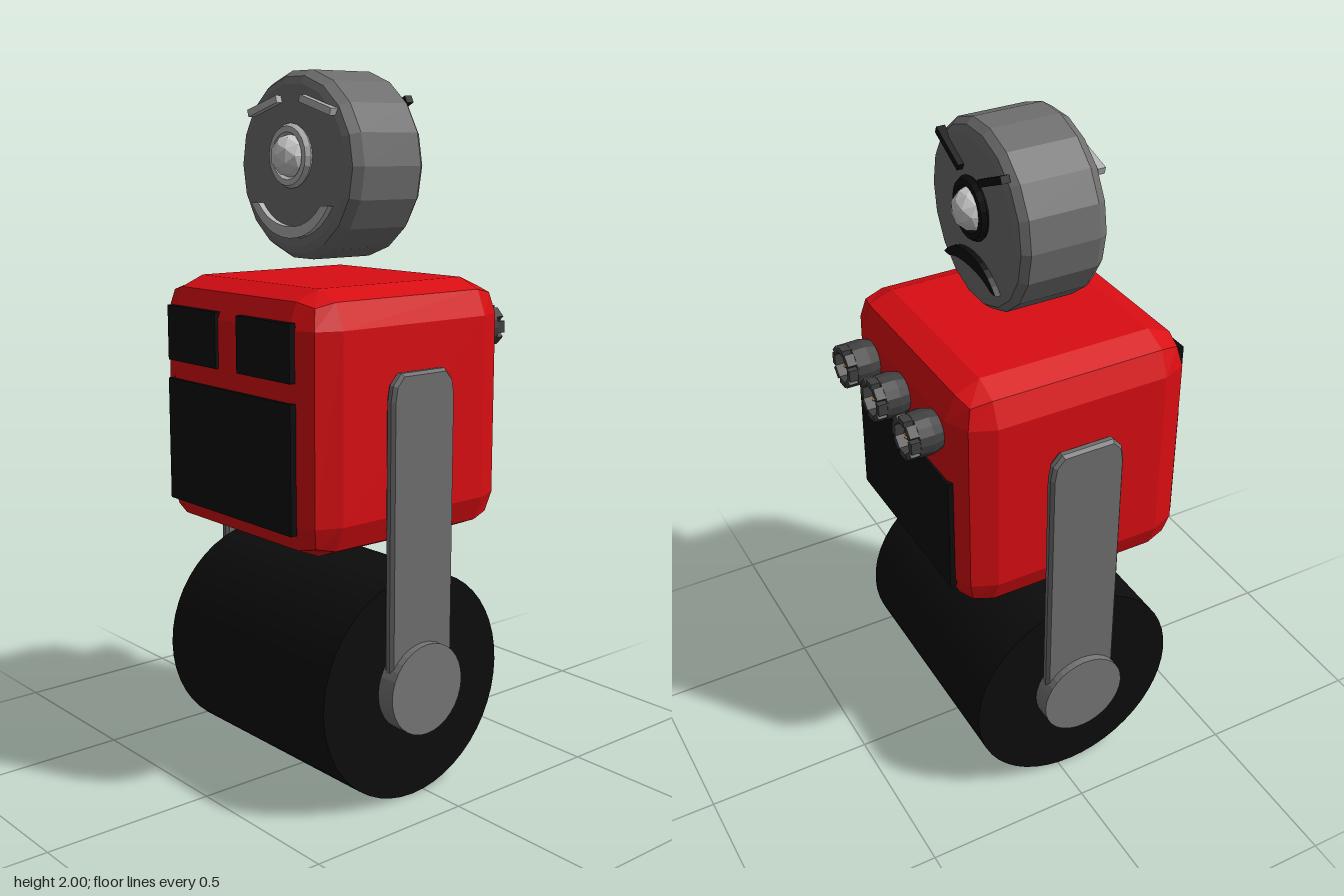
import * as THREE from 'three';
import { RoundedBoxGeometry } from 'three/addons/geometries/RoundedBoxGeometry.js';

const V = (x, y) => new THREE.Vector2(x, y);
const mat = (color, flatShading = true) => new THREE.MeshStandardMaterial({ color, flatShading });
const red = mat(0xd80d12), black = mat(0x0c0c0c), grey = mat(0x6e6e6e), hubGrey = mat(0x757575);
const dark = mat(0x404040), light = mat(0xb0b0b0), eyeGrey = mat(0xc8c8c8), orange = mat(0xd07a20);
const CX = -0.045; // centre line of body, wheel and head

function add(parent, name, geo, material, x = 0, y = 0, z = 0) {
  const m = new THREE.Mesh(geo, material);
  m.name = name;
  m.position.set(x, y, z);
  parent.add(m);
  return m;
}

// Curved mouth: ends at height yEnd, outer and inner curves meet at the tips
function mouthGeo(w, yEnd, outer, inner) {
  const s = new THREE.Shape();
  s.moveTo(-w, yEnd);
  s.quadraticCurveTo(-w * 0.6, outer, 0, outer);
  s.quadraticCurveTo(w * 0.6, outer, w, yEnd);
  s.lineTo(w * 0.8, yEnd);
  s.quadraticCurveTo(w * 0.5, inner, 0, inner);
  s.quadraticCurveTo(-w * 0.5, inner, -w * 0.8, yEnd);
  return new THREE.ExtrudeGeometry(s, { depth: 0.025, bevelEnabled: false, curveSegments: 6 });
}

// A face built looking along local +z; browTilt > 0 raises the outer brow ends
function makeFace(name, material, browTilt, browY, mouth) {
  const g = new THREE.Group();
  g.name = name;
  add(g, 'eyeRing', new THREE.TorusGeometry(0.072, 0.016, 6, 20), material, 0, 0, 0.005);
  add(g, 'eye', new THREE.IcosahedronGeometry(0.06, 1), eyeGrey, 0, 0, 0);
  add(g, 'mouth', mouth, material, 0, 0, -0.01);
  for (const s of [-1, 1]) {
    const brow = add(g, 'brow', new THREE.BoxGeometry(0.135, 0.02, 0.025), material, s * 0.115, browY, 0.003);
    brow.rotation.z = s * browTilt;
  }
  return g;
}

// Castellated nozzle along local +y with a glowing core
function makeNozzle() {
  const g = new THREE.Group();
  g.name = 'nozzle';
  const profile = [V(0, 0), V(0.052, 0), V(0.064, 0.04), V(0.062, 0.08), V(0.042, 0.08), V(0.04, 0.05), V(0, 0.05)];
  add(g, 'nozzleCup', new THREE.LatheGeometry(profile, 16), dark);
  for (let i = 0; i < 8; i++) {
    const a = (i * Math.PI) / 4;
    const tooth = add(g, 'nozzleTooth', new THREE.BoxGeometry(0.034, 0.03, 0.018), dark,
      Math.sin(a) * 0.05, 0.091, Math.cos(a) * 0.05);
    tooth.rotation.y = a;
  }
  add(g, 'nozzleCore', new THREE.OctahedronGeometry(0.034), orange, 0, 0.066, 0);
  return g;
}

export function createModel() {
  const model = new THREE.Group();
  model.name = 'wheeledRobot';

  // Body block
  add(model, 'body', new RoundedBoxGeometry(0.71, 0.715, 0.72, 1, 0.1), red, CX, 1.08, 0);

  // Dark panels: one large on each broad side, two windows on the -x side
  add(model, 'sidePanel', new THREE.BoxGeometry(0.02, 0.35, 0.56), black, 0.307, 0.975, 0);
  add(model, 'sidePanel', new THREE.BoxGeometry(0.02, 0.35, 0.56), black, -0.4, 0.975, 0);
  for (const s of [-1, 1])
    add(model, 'window', new THREE.BoxGeometry(0.02, 0.155, 0.23), black, -0.4, 1.28, s * 0.163);

  // Row of nozzles
  for (const z of [0.19, 0, -0.2]) {
    const n = makeNozzle();
    n.position.set(0.3, 1.28, z);
    n.rotation.z = -Math.PI / 2;
    model.add(n);
  }

  // Roller wheel
  const wheel = add(model, 'wheel', new THREE.CylinderGeometry(0.323, 0.323, 0.72, 48), mat(0x0c0c0c), CX, 0.323, 0);
  wheel.rotation.x = Math.PI / 2;

  // Support arms and hubs
  const arm = new THREE.Shape([V(-0.105, -0.02), V(0.105, -0.02), V(0.105, 0.81), V(0.098, 0.85),
    V(0.075, 0.876), V(-0.075, 0.876), V(-0.098, 0.85), V(-0.105, 0.81)]);
  const armGeo = new THREE.ExtrudeGeometry(arm, {
    depth: 0.014, bevelThickness: 0.01, bevelSize: 0.008, bevelSegments: 1 });
  armGeo.translate(0, 0, -0.007);
  for (const s of [-1, 1]) {
    add(model, 'arm', armGeo, grey, CX, 0.33, s * 0.378);
    const hub = add(model, 'hub', new THREE.CylinderGeometry(0.13, 0.13, 0.06, 32), hubGrey, CX, 0.33, s * 0.387);
    hub.rotation.x = Math.PI / 2;
  }

  // Drum-shaped head, axis along x
  const head = new THREE.Group();
  head.name = 'head';
  model.add(head);
  const drum = [V(0, -0.13), V(0.22, -0.13), V(0.24, -0.122), V(0.257, -0.095),
    V(0.257, 0.105), V(0.24, 0.125), V(0.215, 0.13), V(0, 0.13)];
  const drumMesh = add(head, 'headDrum', new THREE.LatheGeometry(drum, 18), grey, CX, 1.744, 0);
  drumMesh.rotation.z = -Math.PI / 2;

  // Frowning face on +x, smiling face on -x
  const angry = makeFace('frowningFace', black, 0.45, 0.122, mouthGeo(0.145, -0.185, -0.125, -0.163));
  angry.position.set(0.086, 1.77, 0);
  angry.rotation.y = Math.PI / 2;
  const happy = makeFace('smilingFace', light, -0.28, 0.133, mouthGeo(0.17, -0.13, -0.222, -0.19));
  happy.position.set(-0.178, 1.77, 0);
  happy.rotation.y = -Math.PI / 2;
  head.add(angry, happy);

  return model;
}
